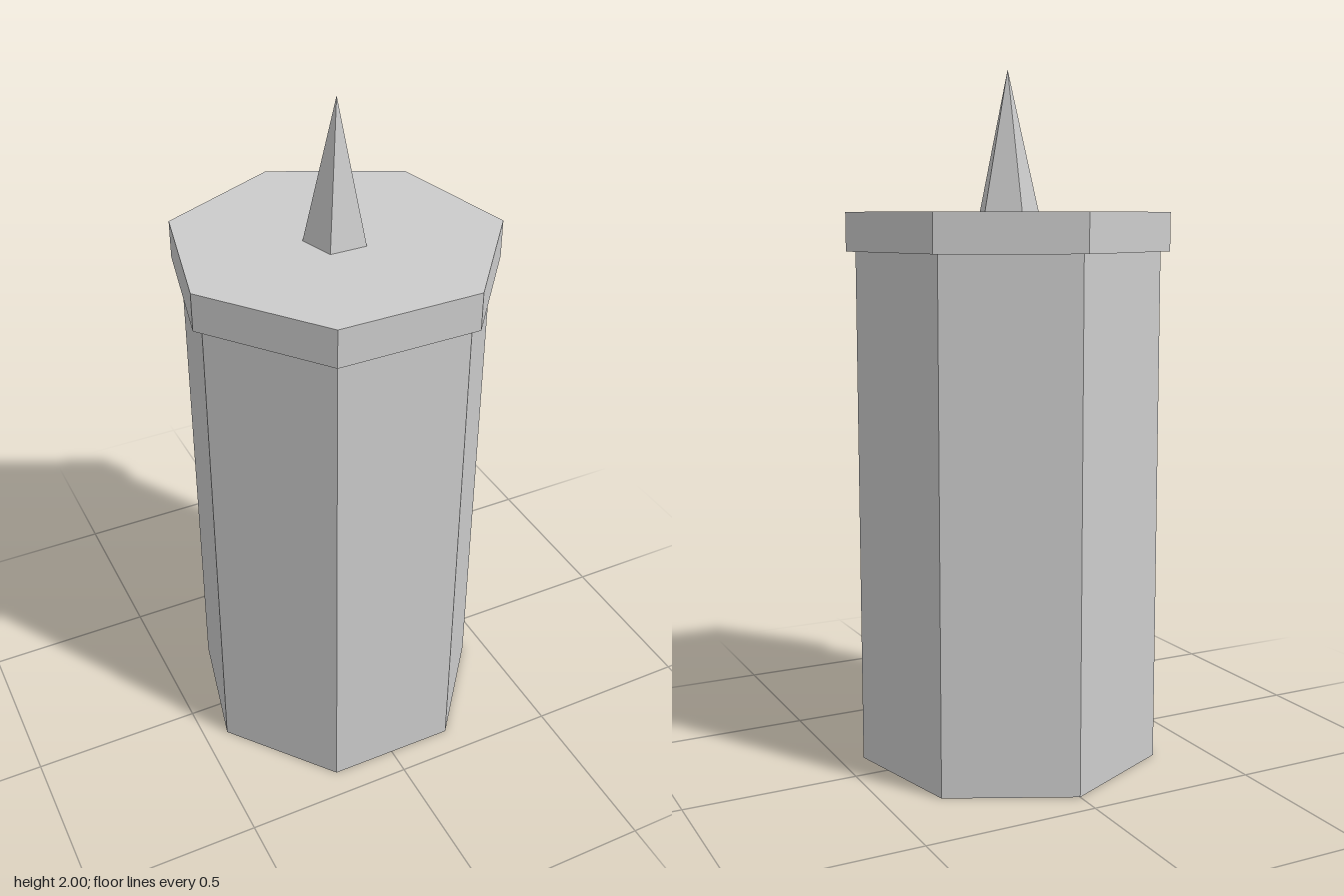
import * as THREE from 'three';

export function createModel() {
  const group = new THREE.Group();
  group.name = 'candle';
  const grey = new THREE.MeshStandardMaterial({ color: 0xcccccc, flatShading: true });
  grey.name = 'light grey';

  // Upright prism or spike between two heights, with one corner pointing to the back
  function addPrism(name, topRadius, bottomRadius, y0, y1, sides) {
    const geometry = new THREE.CylinderGeometry(topRadius, bottomRadius, y1 - y0, sides, 1, false, Math.PI);
    const mesh = new THREE.Mesh(geometry, grey);
    mesh.name = name;
    mesh.position.set(0, (y0 + y1) / 2, 0.0225);
    group.add(mesh);
  }

  addPrism('body', 0.441, 0.441, 0, 1.5, 7);
  addPrism('topRim', 0.468, 0.468, 1.49, 1.6, 7);
  addPrism('spike', 0, 0.091, 1.6, 2, 5);
  return group;
}
